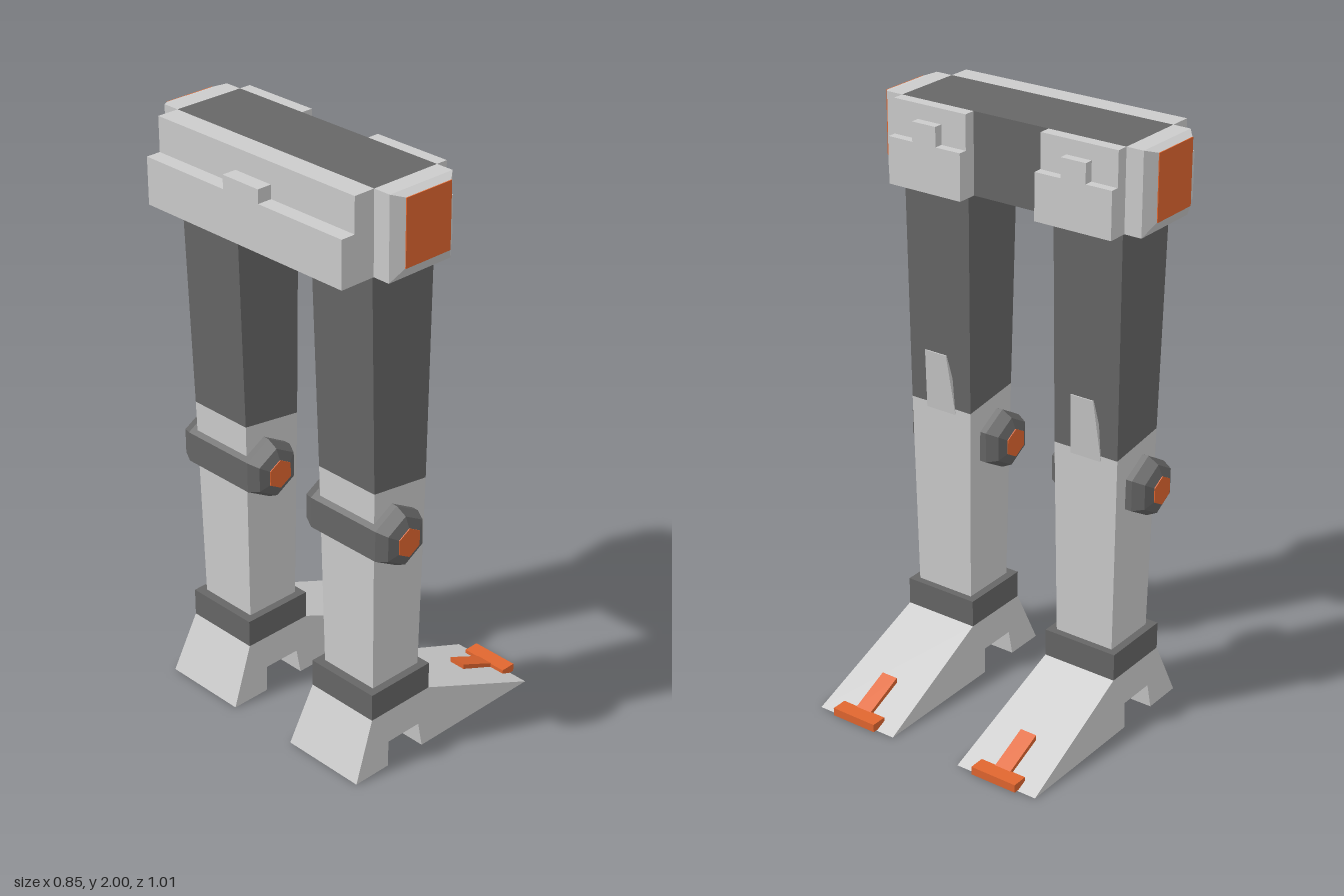
import * as THREE from 'three';

const mat = (color) => new THREE.MeshStandardMaterial({ color, flatShading: true });
const grey = mat(0xcccccc);
const dark = mat(0x666666);
const orange = mat(0xe0662f);

function add(parent, name, geometry, material) {
  const mesh = new THREE.Mesh(geometry, material);
  mesh.name = name;
  parent.add(mesh);
  return mesh;
}

// Box given by its minimum and maximum on each axis
function box(parent, name, material, x0, x1, y0, y1, z0, z1) {
  const mesh = add(parent, name, new THREE.BoxGeometry(x1 - x0, y1 - y0, z1 - z0), material);
  mesh.position.set((x0 + x1) / 2, (y0 + y1) / 2, (z0 + z1) / 2);
  return mesh;
}

// Solid through a series of rings, each anticlockwise about the direction of travel
function loft(rings) {
  const pos = [];
  const tri = (a, b, c) => pos.push(...a, ...b, ...c);
  const n = rings[0].length;
  for (let r = 0; r < rings.length - 1; r++) {
    const a = rings[r], b = rings[r + 1];
    for (let i = 0; i < n; i++) {
      const j = (i + 1) % n;
      tri(a[i], a[j], b[j]);
      tri(a[i], b[j], b[i]);
    }
  }
  const first = rings[0], last = rings[rings.length - 1];
  for (let i = 1; i < n - 1; i++) {
    tri(first[0], first[i + 1], first[i]);
    tri(last[0], last[i], last[i + 1]);
  }
  const g = new THREE.BufferGeometry();
  g.setAttribute('position', new THREE.Float32BufferAttribute(pos, 3));
  g.computeVertexNormals();
  return g;
}

// Rectangle across y; the height may differ between the x0 and x1 sides
const ringY = (x0, x1, hz, y0, y1 = y0) =>
  [[x0, y0, -hz], [x0, y0, hz], [x1, y1, hz], [x1, y1, -hz]];
// Rectangle across z
const ringZ = (x0, x1, y0, y1, z) => [[x0, y0, z], [x1, y0, z], [x1, y1, z], [x0, y1, z]];

// Side profile in x and y, given a width along z
function slab(points, width) {
  const shape = new THREE.Shape(points.map(([x, y]) => new THREE.Vector2(x, y)));
  const g = new THREE.ExtrudeGeometry(shape, { depth: width, bevelEnabled: false });
  return g.translate(0, 0, -width / 2);
}

function createLeg() {
  const leg = new THREE.Group();

  // Thigh and shin meet at a sloping joint
  const joint = ringY(-0.28, -0.06, 0.119, 1.005, 0.975);
  add(leg, 'thigh', loft([joint, ringY(-0.3, -0.05, 0.125, 1.74)]), dark);
  add(leg, 'shin', loft([ringY(-0.27, -0.07, 0.108, 0.28), joint]), grey);
  add(leg, 'kneeGuard', loft([
    ringY(-0.09, -0.06, 0.058, 0.955), ringY(-0.037, -0.033, 0.0425, 1.17),
  ]), grey);

  // Six-sided knee joint through the leg, with coloured ends
  const half = [[0.105, 0.14], [0.085, 0.178], [0.05, 0.193], [0, 0.193]];
  const profile = [
    ...half.map(([r, z]) => new THREE.Vector2(r, -z)).reverse(),
    ...half.map(([r, z]) => new THREE.Vector2(r, z)),
  ];
  const knee = add(leg, 'kneeJoint', new THREE.LatheGeometry(profile, 6).rotateX(Math.PI / 2), dark);
  const ends = add(leg, 'kneeCaps',
    new THREE.CylinderGeometry(0.05, 0.05, 0.39, 6).rotateX(Math.PI / 2), orange);
  ends.scale.z = 1.0;
  for (const m of [knee, ends]) m.position.set(-0.205, 0.838, 0);
  ends.scale.z = 1.003;
  knee.scale.z = 0.998;

  box(leg, 'ankleCuff', dark, -0.3, -0.045, 0.195, 0.29, -0.135, 0.135);

  // Foot with an arch, widening towards the ground
  const foot = slab([
    [-0.385, 0], [-0.245, 0], [-0.235, 0.085], [-0.1, 0.085], [-0.09, 0],
    [0.41, 0], [-0.045, 0.195], [-0.3, 0.195],
  ], 1);
  const p = foot.attributes.position;
  for (let i = 0; i < p.count; i++) {
    p.setZ(i, p.getZ(i) * THREE.MathUtils.lerp(0.305, 0.27, p.getY(i) / 0.195));
  }
  foot.computeVertexNormals();
  add(leg, 'foot', foot, grey);

  // Coloured T-shaped toe trim
  box(leg, 'toeBar', orange, 0.37, 0.425, 0.002, 0.03, -0.085, 0.085);
  add(leg, 'toeStrip', slab([[0.235, 0.07], [0.38, 0.008], [0.38, 0.027], [0.235, 0.093]], 0.06), orange);
  return leg;
}

// Plate on the hip: upright slab, lower ledge and raised tab
function hipPlate(parent, name, xIn, xMid, xOut, tabTop, zc, hw, tabHw) {
  const plate = new THREE.Group();
  plate.name = name;
  const span = (a, b) => [Math.min(a, b), Math.max(a, b)];
  box(plate, 'plateSlab', grey, ...span(xIn, xMid), 1.73, 2, zc - hw, zc + hw);
  box(plate, 'plateLedge', grey, ...span(xMid, xOut), 1.73, 1.885, zc - hw, zc + hw);
  box(plate, 'plateTab', grey, ...span(xMid, xOut), 1.885, tabTop, zc - tabHw, zc + tabHw);
  parent.add(plate);
}

export function createModel() {
  const model = new THREE.Group();
  model.name = 'mechanicalLegs';

  // Hips
  const hips = new THREE.Group();
  hips.name = 'hips';
  model.add(hips);
  box(hips, 'hipBeam', dark, -0.3, -0.05, 1.73, 2, -0.415, 0.415);
  hipPlate(hips, 'backPlate', -0.3, -0.375, -0.425, 1.93, 0, 0.415, 0.075);

  for (const side of [1, -1]) {
    const label = side > 0 ? 'left' : 'right';
    hipPlate(hips, label + 'FrontPlate', -0.05, -0.01, 0.02, 1.95, side * 0.277, 0.138, 0.045);

    // Bevelled hip end, built about its own centre line and turned for the other side
    const end = new THREE.Group();
    end.name = label + 'HipEnd';
    add(end, 'hipEndCap', loft([
      ringZ(-0.125, 0.125, 1.73, 2, 0.415),
      ringZ(-0.125, 0.125, 1.73, 2, 0.475),
      ringZ(-0.09, 0.09, 1.775, 1.99, 0.504),
    ]), grey);
    box(end, 'hipEndPanel', orange, -0.09, 0.09, 1.775, 1.99, 0.49, 0.507);
    end.position.x = -0.175;
    if (side < 0) end.rotation.y = Math.PI;
    hips.add(end);

    const leg = createLeg();
    leg.name = label + 'Leg';
    leg.position.z = side * 0.285;
    model.add(leg);
  }
  return model;
}
